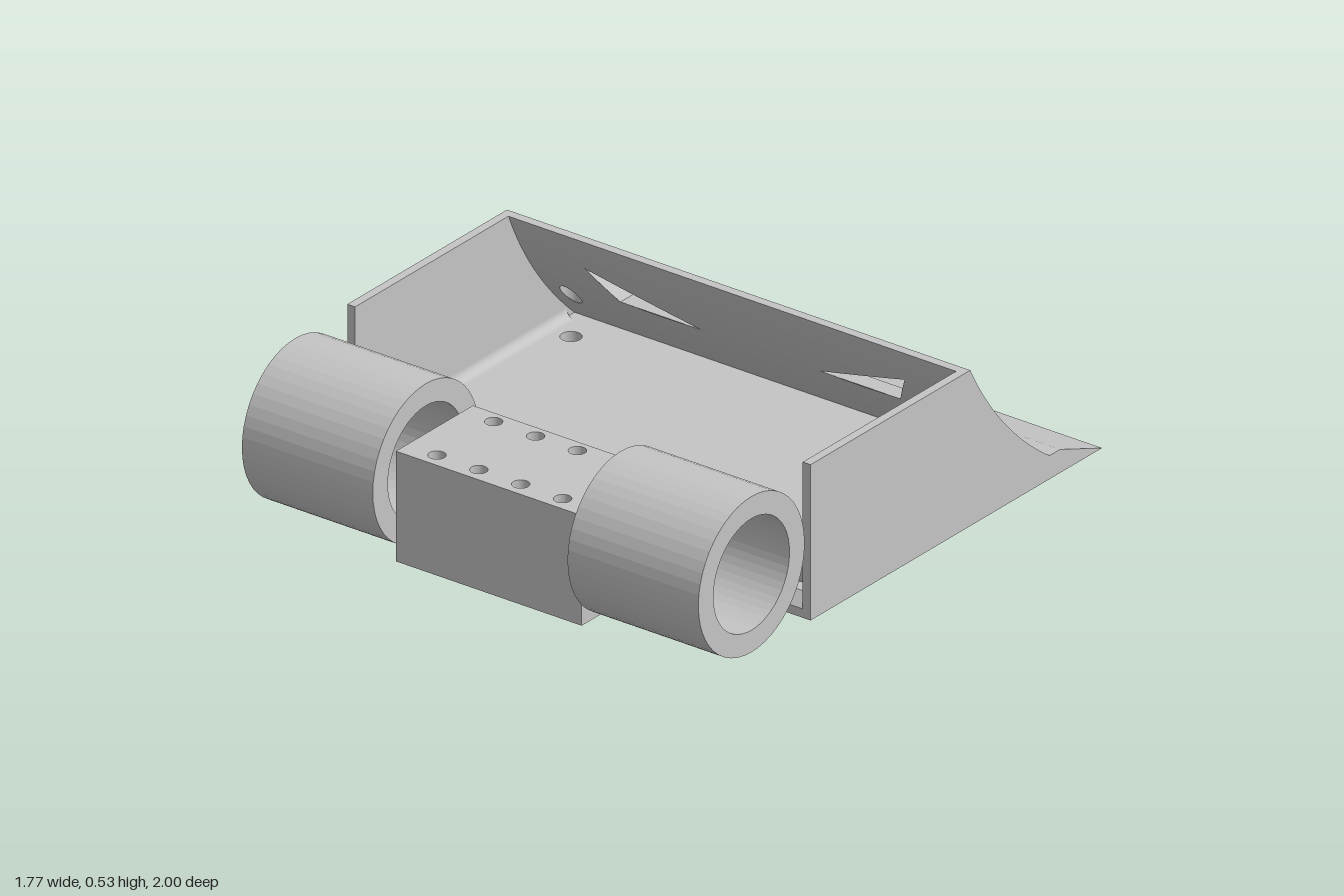
import * as THREE from 'three';
import { toCreasedNormals } from 'three/addons/utils/BufferGeometryUtils.js';

const W = 0.885, WALL = 0.03, FLOOR = 0.07, TOP = 0.53;
const HOLE = { x: 0.765, z: -0.505, r: 0.034 };
const V = (z, y) => new THREE.Vector2(z, y);
// plough curves in (z, y): outer face and inner face
const outer = new THREE.QuadraticBezierCurve(V(-0.342, TOP), V(-0.486, 0.256), V(-0.738, 0.08));
const inner = new THREE.QuadraticBezierCurve(V(-0.31, TOP), V(-0.42, 0.27), V(-0.64, FLOOR));

// finds the curve point where one coordinate has the given value
function pointAt(curve, key, value) {
  let lo = 0, hi = 1;
  for (let i = 0; i < 30; i++) {
    const mid = (lo + hi) / 2;
    if (curve.getPoint(mid)[key] > value) lo = mid; else hi = mid;
  }
  return curve.getPoint(lo);
}

// (z, y) profile swept along x
function prism(points, x0, x1) {
  const g = new THREE.ExtrudeGeometry(new THREE.Shape(points), { depth: x1 - x0, bevelEnabled: false });
  return g.rotateY(-Math.PI / 2).translate(x1, 0, 0);
}

// (x, z) rectangle with round holes, raised from y0 to y1
function slab(halfX, z0, z1, y0, y1, holes) {
  const s = new THREE.Shape([V(-halfX, z0), V(halfX, z0), V(halfX, z1), V(-halfX, z1)]);
  for (const [x, z, r] of holes) s.holes.push(new THREE.Path().absarc(x, z, r, 0, Math.PI * 2, true));
  const g = new THREE.ExtrudeGeometry(s, { depth: y1 - y0, bevelEnabled: false, curveSegments: 24 });
  return g.rotateX(Math.PI / 2).translate(0, y1, 0);
}

// surface between two equal rows of points
function ribbon(a, b) {
  const pos = [], idx = [];
  a.forEach((p, i) => {
    pos.push(...p, ...b[i]);
    if (i) idx.push(2 * i - 2, 2 * i - 1, 2 * i, 2 * i - 1, 2 * i + 1, 2 * i);
  });
  const g = new THREE.BufferGeometry();
  g.setAttribute('position', new THREE.Float32BufferAttribute(pos, 3));
  g.setIndex(idx);
  g.computeVertexNormals();
  return g;
}

// x limits of the solid spans across half of the plough at a point
function spanEdges({ x: z, y }) {
  const d = Math.sqrt(Math.max(0, HOLE.r ** 2 - (z - HOLE.z) ** 2));
  const k = (y - 0.28) / 0.12;
  const open = k >= 0 && k <= 1;
  const slot = open ? [0.225 + 0.385 * k, 0.535 + 0.075 * k] : k > 1 ? [0.61, 0.61] : [0.4, 0.4];
  return [0, ...slot, HOLE.x - d, HOLE.x + d, W];
}

export function createModel() {
  const model = new THREE.Group();
  const grey = new THREE.MeshStandardMaterial({ color: 0xc4c4c4, side: THREE.DoubleSide });
  grey.name = 'plain grey';
  const add = (name, geometry, parent = model) => {
    const m = new THREE.Mesh(geometry, grey);
    m.name = name;
    parent.add(m);
    return m;
  };

  // floor, its bevelled front edge and the wedge at the back
  add('floor', slab(W - WALL, -0.7, 0.42, 0, FLOOR, [[HOLE.x, HOLE.z, HOLE.r], [-HOLE.x, HOLE.z, HOLE.r]]));
  add('floorBevel', prism([V(0.42, 0), V(0.455, 0), V(0.455, 0.03), V(0.42, FLOOR)], -W + WALL, W - WALL));
  add('wedge', prism([V(-0.7, 0), V(-0.7, FLOOR), V(-0.738, 0.08), V(-0.79, 0.08), V(-1, 0)], -W, W));

  // curved plough plate with slots and round holes
  const plough = new THREE.Group();
  plough.name = 'plough';
  model.add(plough);
  const slotCorners = [[0.61, 0.4], [0.535, 0.28], [0.225, 0.28], [0.61, 0.4]];
  for (const side of [1, -1]) {
    for (const curve of [outer, inner]) {
      const rows = curve.getPoints(120);
      for (let c = 0; c < 6; c += 2) {
        const column = (n) => rows.map((p) => [side * Math.min(spanEdges(p)[n], curve === inner ? W - WALL : W), p.y, p.x]);
        add('ploughFace', ribbon(column(c), column(c + 1)), plough);
      }
    }
    for (let i = 0; i < 3; i++) {
      const edge = (curve) => [0, 0.25, 0.5, 0.75, 1].map((t) => {
        const x = THREE.MathUtils.lerp(slotCorners[i][0], slotCorners[i + 1][0], t);
        const y = THREE.MathUtils.lerp(slotCorners[i][1], slotCorners[i + 1][1], t);
        return [side * x, y, pointAt(curve, 'y', y).x];
      });
      add('slotWall', ribbon(edge(outer), edge(inner)), plough);
    }
    const ring = (curve) => Array.from({ length: 33 }, (_, i) => {
      const a = (i / 32) * Math.PI * 2;
      const z = HOLE.z + HOLE.r * Math.sin(a);
      return [side * (HOLE.x + HOLE.r * Math.cos(a)), pointAt(curve, 'x', z).y, z];
    });
    add('holeWall', ribbon(ring(outer), ring(inner)), plough);
  }
  add('ploughRim', prism([V(-0.342, TOP), V(-0.31, TOP), V(-0.316, 0.515), V(-0.333, 0.515)], -W, W), plough);

  // side walls with a small fillet and a slanted strut
  const wallProfile = [V(0.455, 0), V(0.455, TOP), ...outer.getPoints(32), V(-0.738, 0)];
  for (const side of [1, -1]) {
    const x0 = side > 0 ? W - WALL : -W;
    add('sideWall', prism(wallProfile, x0, x0 + WALL));
    const xi = side * (W - WALL), r = 0.03;
    const arc = (z) => Array.from({ length: 9 }, (_, i) => {
      const a = (i / 8) * Math.PI / 2;
      return [xi - side * r * (1 - Math.sin(a)), FLOOR + r * (1 - Math.cos(a)), z];
    });
    add('wallFillet', ribbon(arc(-0.6), arc(0.42)));
    const strut = add('strut', new THREE.CylinderGeometry(0.037, 0.037, 0.17, 24));
    strut.position.set(side * 0.79, 0.1, 0.347);
    strut.rotation.z = -side * 0.95;
  }

  // centre block: base, lid, bored rear plate and fillet to the floor
  const bores = [];
  for (const x of [-0.24, -0.08, 0.08, 0.24]) for (const z of [0.567, 0.85]) bores.push([x, z, 0.028]);
  add('blockBase', slab(0.355, 0.53, 0.905, 0, 0.27, bores));
  add('blockLid', slab(0.355, 0.52, 0.905, 0.27, 0.375, bores));
  const plate = new THREE.Shape([V(-0.355, 0), V(0.355, 0), V(0.355, 0.27), V(-0.355, 0.27)]);
  plate.holes.push(new THREE.Path().absarc(0, 0.2, 0.045, 0, Math.PI * 2, true));
  add('blockRearPlate', new THREE.ExtrudeGeometry(plate, { depth: 0.02, bevelEnabled: false, curveSegments: 24 }).translate(0, 0, 0.51));
  const cove = new THREE.QuadraticBezierCurve(V(0.51, 0.13), V(0.505, 0.08), V(0.455, FLOOR)).getPoints(8);
  add('blockFillet', prism([V(0.41, 0), V(0.51, 0), ...cove, V(0.41, FLOOR)], -0.355, 0.355));

  // cup-shaped wheels, both open towards +x
  const cup = [V(0, 0), V(0.265, 0), V(0.265, 0.5), V(0.19, 0.5), V(0.19, 0.04), V(0, 0.04)];
  for (const x of [0.372, -0.872]) {
    const wheel = toCreasedNormals(new THREE.LatheGeometry(cup, 48), 0.1).rotateZ(-Math.PI / 2);
    add('wheel', wheel).position.set(x, 0.265, 0.733);
  }
  return model;
}
